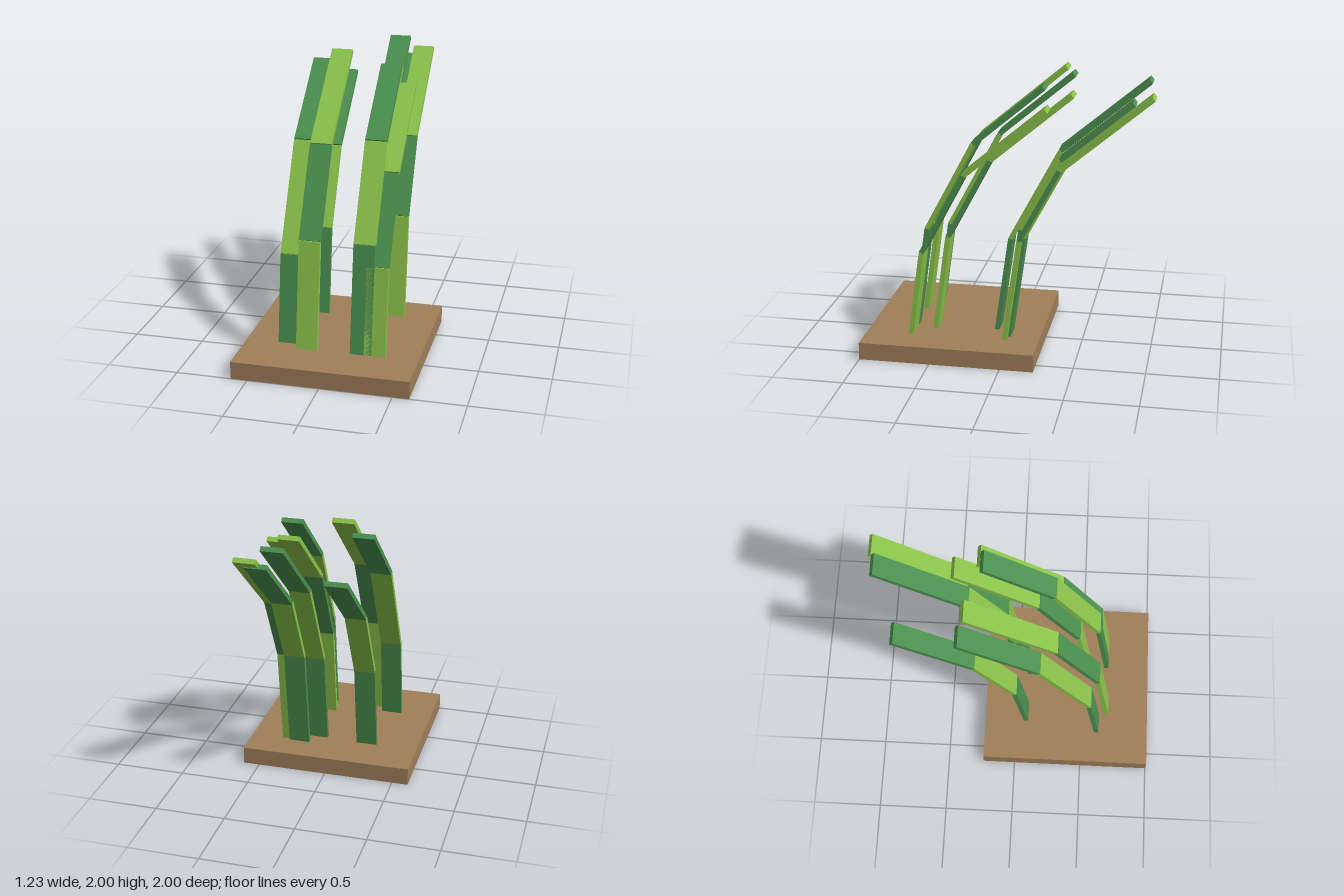
import * as THREE from 'three';

export function createModel() {
  const model = new THREE.Group();
  model.name = 'grassPatch';

  const mat = (name, color) => {
    const m = new THREE.MeshStandardMaterial({ color });
    m.name = name;
    return m;
  };
  const soil = mat('soilBrown', 0xa07f5a);
  const light = mat('lightGreen', 0x8bc34a);
  const dark = mat('darkGreen', 0x4c9150);

  // square slab of earth
  const base = new THREE.Mesh(new THREE.BoxGeometry(1.23, 0.125, 1.235), soil);
  base.name = 'soilBase';
  base.position.set(0, 0.0625, 0.382);
  model.add(base);

  // every blade leans further back in each of its three segments
  const tilts = [8, 28, 50].map(THREE.MathUtils.degToRad);
  const width = 0.15, thickness = 0.034, ground = 0.125;

  function addBlade(x, z0, heights, colors) {
    const blade = new THREE.Group();
    blade.name = 'grassBlade';
    let y = ground, z = z0;
    heights.forEach((top, i) => {
      const dy = top - y, dz = -dy * Math.tan(tilts[i]);
      const segment = new THREE.Mesh(
        new THREE.BoxGeometry(width, Math.hypot(dy, dz), thickness), colors[i]);
      segment.name = ['lowerSegment', 'middleSegment', 'tipSegment'][i];
      segment.position.set(x, y + dy / 2, z + dz / 2);
      segment.rotation.x = -tilts[i];
      blade.add(segment);
      y = top;
      z += dz;
    });
    model.add(blade);
  }

  // x, root z, height of each segment's end
  const darkTipped = [
    [-0.31, 0.615, [0.75, 1.455, 1.905]],
    [0.215, 0.68, [0.885, 1.51, 1.92]],
    [0.135, 0.09, [0.815, 1.47, 1.972]],
    [0.25, -0.012, [0.865, 1.385, 1.845]],
    [-0.24, 0.075, [0.755, 1.29, 1.725]],
  ];
  const lightTipped = [
    [-0.165, 0.685, [0.88, 1.467, 1.986]],
    [0.312, 0.68, [0.738, 1.31, 1.785]],
    [0.185, 0.53, [0.82, 1.39, 1.865]],
    [0.307, 0.008, [0.86, 1.375, 1.893]],
  ];
  darkTipped.forEach((b) => addBlade(...b, [dark, light, dark]));
  lightTipped.forEach((b) => addBlade(...b, [light, dark, light]));

  return model;
}
